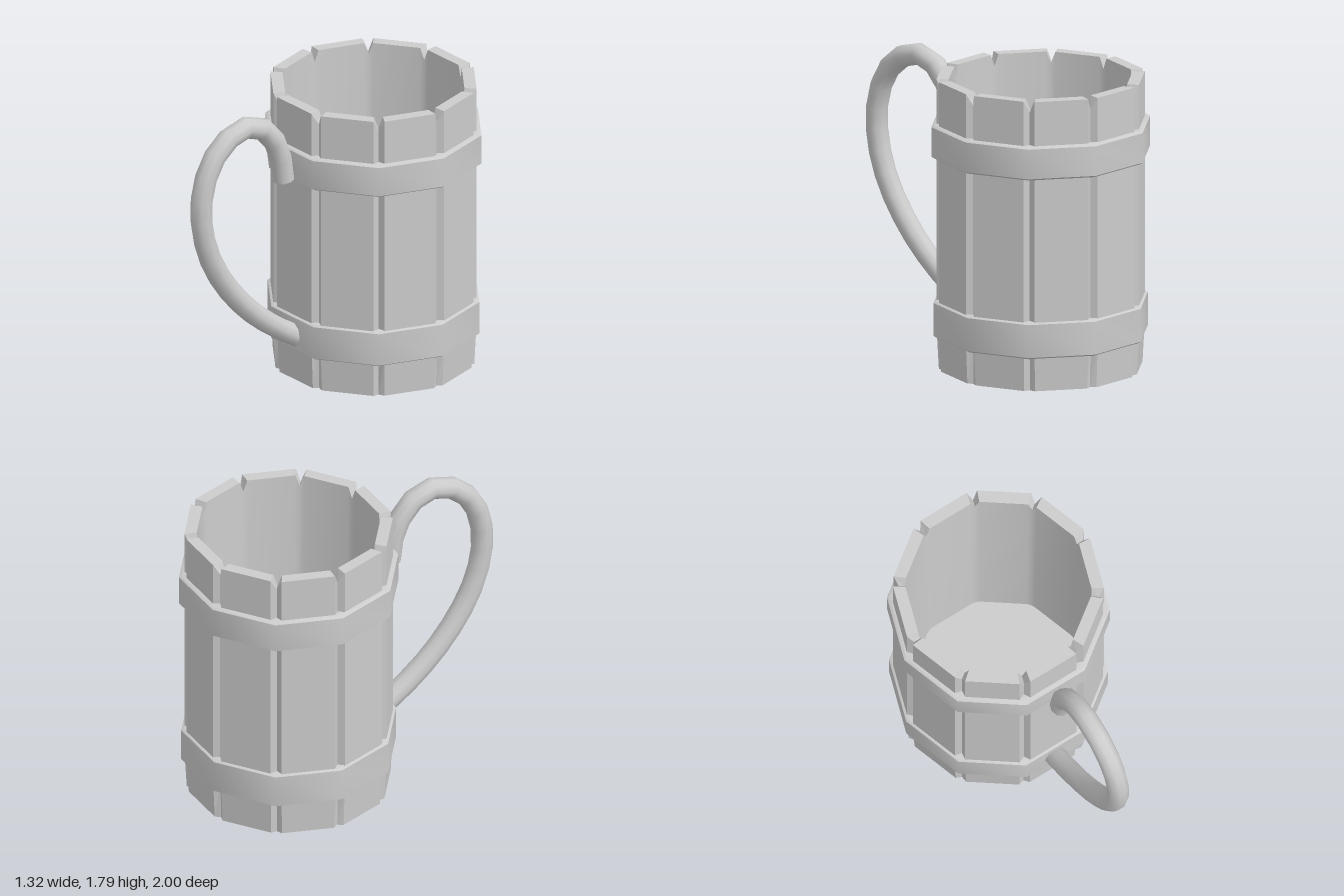
import * as THREE from 'three';
import { toCreasedNormals } from 'three/addons/utils/BufferGeometryUtils.js';

const SIDES = 10;
const CREASE = 0.7;
const smooth = new THREE.MeshStandardMaterial({ color: 0xcccccc });
const flat = new THREE.MeshStandardMaterial({ color: 0xcccccc, flatShading: true });

// Ring of a ten-sided wall: each corner is cut by a V between two stave edges
function ring(radius, y, cut, valley, valleyY = y) {
  const points = [];
  const corner = (k) => {
    const a = (k * Math.PI * 2) / SIDES;
    return new THREE.Vector3(radius * Math.cos(a), y, -radius * Math.sin(a));
  };
  for (let k = 0; k < SIDES; k++) {
    const c = corner(k);
    const toward = (n) => corner(n).sub(c).setLength(cut).add(c);
    const v = c.clone().multiplyScalar(valley / radius).setY(valleyY);
    points.push(toward(k - 1), v, toward(k + 1));
  }
  return points;
}

function centre(y) {
  return Array.from({ length: SIDES * 3 }, () => new THREE.Vector3(0, y, 0));
}

// Skin a list of rings, skipping collapsed triangles
function loft(rows) {
  const position = [];
  const tri = (a, b, c) => {
    if (a.distanceTo(b) < 1e-6 || b.distanceTo(c) < 1e-6 || c.distanceTo(a) < 1e-6) return;
    for (const p of [a, b, c]) position.push(p.x, p.y, p.z);
  };
  for (let i = 0; i < rows.length - 1; i++) {
    const [r, s] = [rows[i], rows[i + 1]];
    for (let j = 0; j < r.length; j++) {
      const n = (j + 1) % r.length;
      tri(r[j], r[n], s[n]);
      tri(r[j], s[n], s[j]);
    }
  }
  const geometry = new THREE.BufferGeometry();
  geometry.setAttribute('position', new THREE.Float32BufferAttribute(position, 3));
  geometry.computeVertexNormals();
  return geometry;
}

function add(parent, name, geometry, material) {
  const mesh = new THREE.Mesh(geometry, material);
  mesh.name = name;
  parent.add(mesh);
  return mesh;
}

export function createModel() {
  const model = new THREE.Group();
  model.name = 'tankard';
  const barrel = new THREE.Group();
  barrel.name = 'barrel';
  barrel.position.z = -0.375;
  model.add(barrel);

  // Grooved staves with a base below and a notched rim on top
  const rim = ring(0.557, 1.77, 0.028, 0.55, 1.7);
  add(barrel, 'staves', loft([
    centre(0),
    ring(0.618, 0, 0.034, 0.588),
    ring(0.632, 0.25, 0.034, 0.592),
    ring(0.632, 1.77, 0.034, 0.592, 1.7),
    rim,
  ]), flat);

  // Inner wall and floor
  const floor = ring(0.53, 0.12, 0.028, 0.525);
  add(barrel, 'interior', toCreasedNormals(loft([rim, floor, centre(0.12)]), CREASE), smooth);

  // Bevelled hoops
  const hoops = [
    { name: 'upperHoop', low: 1.295, high: 1.5, r: 0.66 },
    { name: 'lowerHoop', low: 0.2, high: 0.425, r: 0.647 },
  ];
  for (const { name, low, high, r } of hoops) {
    const profile = [
      [0.59, low], [r - 0.02, low], [r, low + 0.012],
      [r, high - 0.012], [r - 0.02, high], [0.59, high],
    ].map(([x, y]) => new THREE.Vector2(x, y));
    const hoop = new THREE.LatheGeometry(profile, SIDES, Math.PI / 2);
    add(barrel, name, toCreasedNormals(hoop, CREASE), smooth);
  }

  // Curved handle with a closed upper end
  const path = new THREE.CatmullRomCurve3([
    [1.32, 0.31], [1.465, 0.33], [1.57, 0.37], [1.68, 0.46], [1.727, 0.573],
    [1.714, 0.675], [1.658, 0.777], [1.56, 0.862], [1.428, 0.916], [1.278, 0.935],
    [1.1, 0.913], [0.92, 0.849], [0.733, 0.734], [0.55, 0.573], [0.385, 0.37], [0.28, 0.2],
  ].map(([y, z]) => new THREE.Vector3(0, y, z)));
  const handle = new THREE.Group();
  handle.name = 'handle';
  model.add(handle);
  add(handle, 'handleGrip', new THREE.TubeGeometry(path, 18, 0.067, 10), smooth);
  const cap = add(handle, 'handleEnd', new THREE.CircleGeometry(0.067, 10), smooth);
  cap.position.copy(path.getPoint(0));
  cap.lookAt(cap.position.clone().sub(path.getTangent(0)));

  return model;
}
